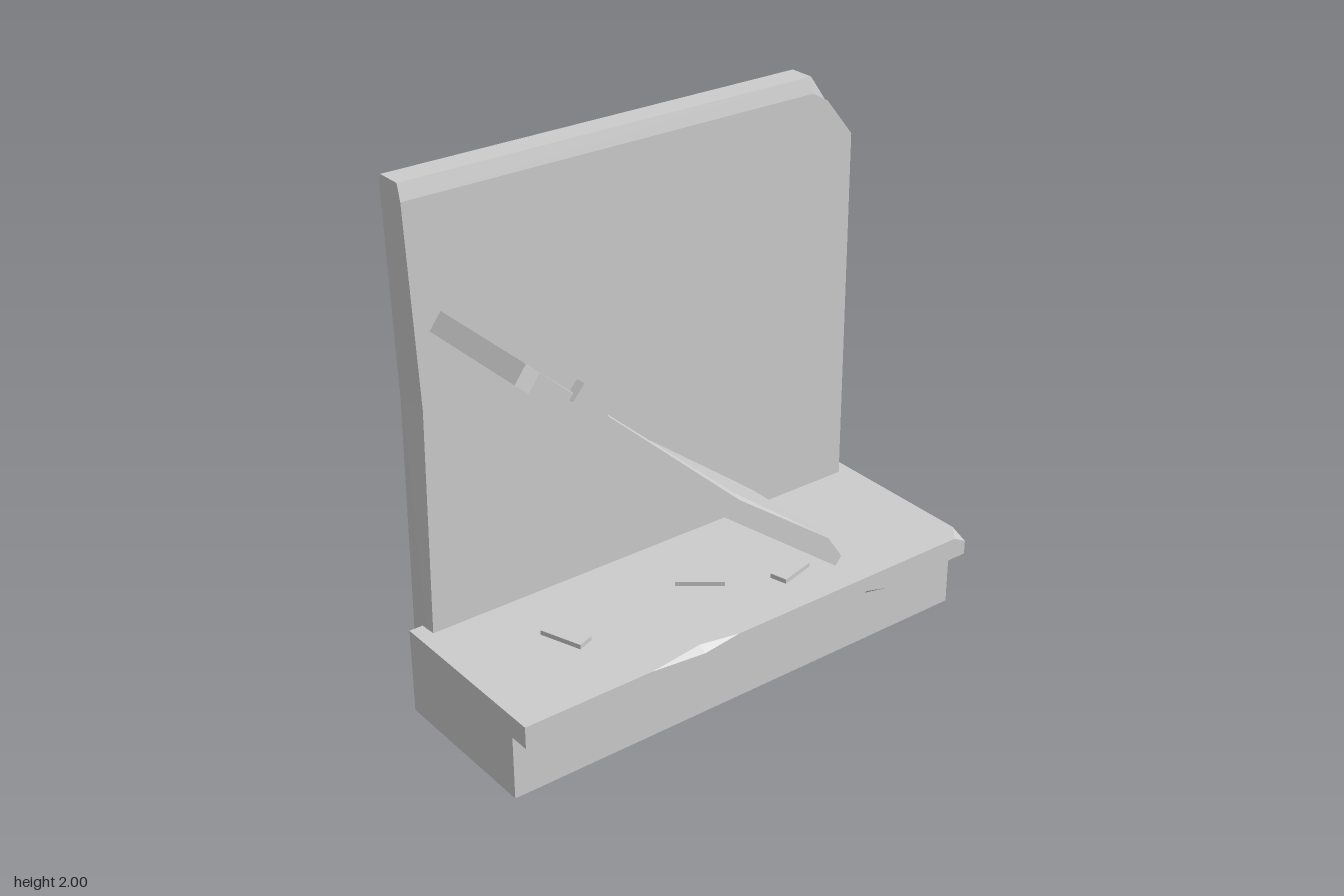
import * as THREE from 'three';

const material = new THREE.MeshStandardMaterial({ color: 0xcccccc, flatShading: true });

function part(name, geometry) {
  const mesh = new THREE.Mesh(geometry, material);
  mesh.name = name;
  return mesh;
}

// Closed solid through matching cross-sections: [{ at, ring: [[u, v], ...] }], rings counter-clockwise, stacked along z
function loft(sections) {
  const positions = [];
  const point = (s, i) => positions.push(...s.ring[i % s.ring.length], s.at);
  for (let k = 0; k < sections.length - 1; k++) {
    const a = sections[k], b = sections[k + 1];
    for (let i = 0; i < a.ring.length; i++) {
      point(a, i); point(a, i + 1); point(b, i + 1);
      point(a, i); point(b, i + 1); point(b, i);
    }
  }
  const cap = (s, flip) => {
    const outline = s.ring.map(([u, v]) => new THREE.Vector2(u, v));
    for (const [i, j, k] of THREE.ShapeUtils.triangulateShape(outline, [])) {
      for (const n of flip ? [k, j, i] : [i, j, k]) point(s, n);
    }
  };
  cap(sections[0], true);
  cap(sections[sections.length - 1], false);
  const geometry = new THREE.BufferGeometry();
  geometry.setAttribute('position', new THREE.Float32BufferAttribute(positions, 3));
  geometry.computeVertexNormals();
  return geometry;
}

// Same, but stacked along x, with u pointing to the back
const loftAcross = (sections) => loft(sections).rotateY(Math.PI / 2);

// Upright slab with worn edges and a broken upper back corner
function wall() {
  const section = (at, top, waist) => ({
    at,
    ring: [[-0.945, 0.02], [0.94, 0.02], [0.94, 1.75], [0.82, 1.9], [0.75, top], [-0.95, top], [waist, 1.2]],
  });
  return loftAcross([
    section(-0.39, 1.97, -0.93),
    section(-0.38, 2, -0.93),
    section(-0.28, 2, -0.92),
    section(-0.265, 1.94, -0.92),
  ]);
}

// Overhanging top plate with chipped edges along its +x side
function plate() {
  const section = (at, { lowX = 0.39, lowY = 0.25, highX = 0.39, highY = 0.335 } = {}) => ({
    at,
    ring: [[-0.33, 0.25], [lowX, 0.25], [0.39, lowY], [0.39, highY], [highX, 0.335], [-0.33, 0.335]],
  });
  return loft([
    section(-0.995, { highX: 0.32, highY: 0.305 }),
    section(-0.94),
    section(-0.6),
    section(-0.5, { lowX: 0.36, lowY: 0.275 }),
    section(-0.28),
    section(0.1),
    section(0.25, { highX: 0.36, highY: 0.315 }),
    section(0.48),
    section(0.995),
  ]);
}

// Leaning slab, clipped at its free corners
function leaningSlab() {
  const section = (at, tipLow, tipHigh, middle, foot) => ({
    at,
    ring: [tipLow, [-0.08, 0.74], [0.46, 0.335], foot, [0.42, 0.467], [0, middle], tipHigh],
  });
  const low = [-0.875, 1.475], high = [-0.83, 1.535];
  return loftAcross([
    section(-0.28, low, high, 0.79, [0.505, 0.4]),
    section(0.12, low, high, 0.79, [0.505, 0.4]),
    section(0.23, low, high, 0.79, [0.49, 0.377]),
    section(0.26, [-0.845, 1.447], [-0.8, 1.508], 0.775, [0.485, 0.37]),
  ]);
}

export function createModel() {
  const model = new THREE.Group();
  model.name = 'brokenSlabs';

  const base = part('base', new THREE.BoxGeometry(0.64, 0.25, 1.99));
  base.position.set(-0.01, 0.125, 0);
  model.add(base, part('topPlate', plate()), part('wall', wall()), part('leaningSlab', leaningSlab()));

  // Small block on the slab's edge
  const block = part('edgeBlock', new THREE.BoxGeometry(0.04, 0.07, 0.158));
  block.position.set(0.26, 1.354, 0.612);
  block.rotation.x = -Math.atan2(0.105, 0.12);
  model.add(block);

  // Loose chips lying on the plate: x, z, length, width, turn
  const chips = [
    [0.04, 0.59, 0.17, 0.065, 0.34],
    [0.04, 0, 0.18, 0.06, 0.9],
    [0.19, -0.3, 0.15, 0.07, 1.83],
  ];
  for (const [x, z, length, width, turn] of chips) {
    const chip = part('chip', new THREE.BoxGeometry(length, 0.03, width));
    chip.position.set(x, 0.338, z);
    chip.rotation.y = turn;
    model.add(chip);
  }
  return model;
}
